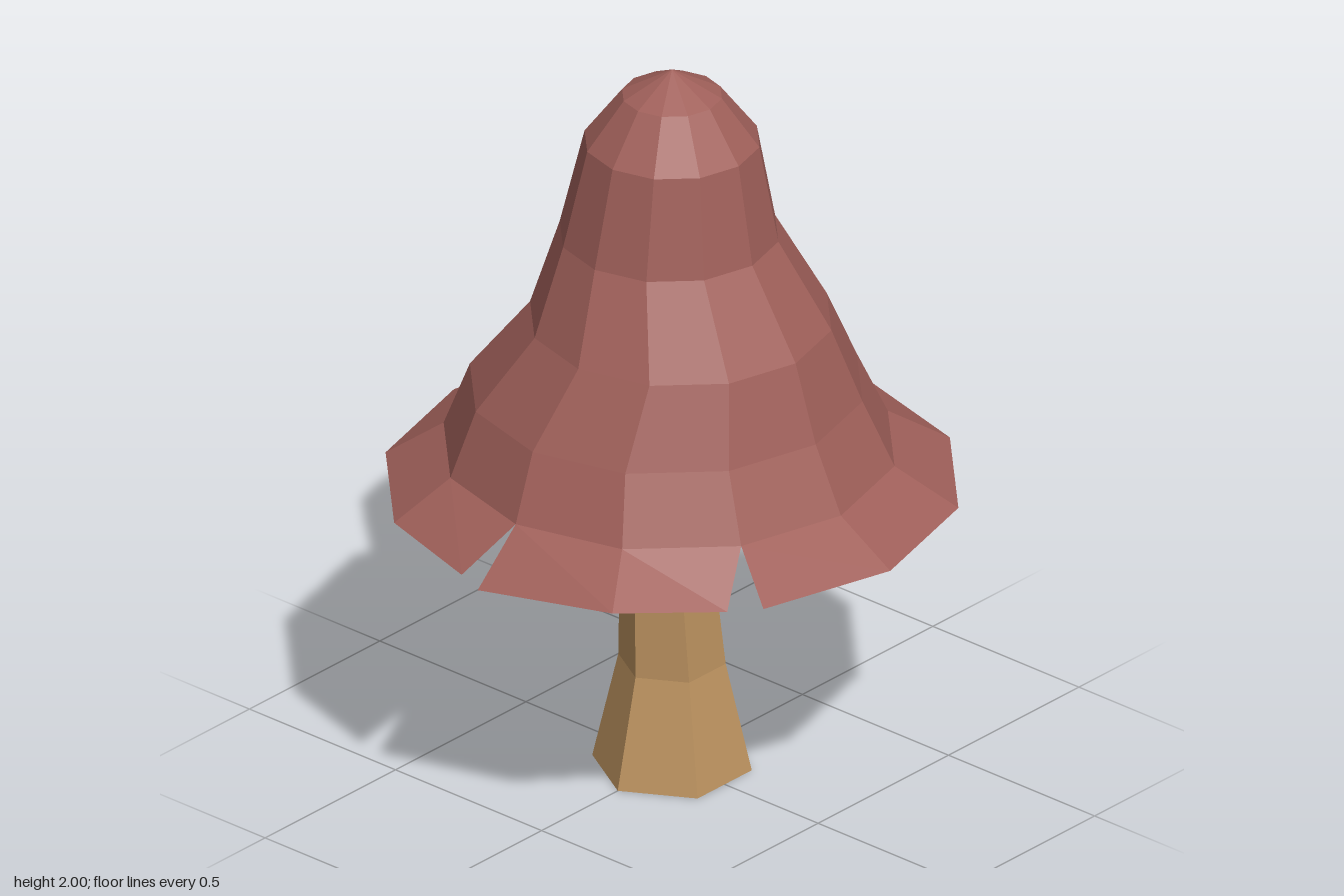
import * as THREE from 'three';

// Point i of an n-sided ring: r radius, y height, cx/cz centre offset, start angle
const ringPoint = (n, i, r, y, cx = 0, cz = 0, start = 0) => {
  const a = start + (i / n) * Math.PI * 2;
  return [cx + r * Math.cos(a), y, cz + r * Math.sin(a)];
};

// Skin between rows of points (rows run from top to bottom, angle increasing from +x to +z)
function skin(rows, material, name) {
  const pos = [], index = [], w = rows[0].length;
  rows.forEach(row => row.forEach(p => pos.push(...p)));
  for (let j = 0; j < rows.length - 1; j++) {
    for (let i = 0; i < w - 1; i++) {
      const a = j * w + i, b = a + 1, c = a + w, d = c + 1;
      index.push(a, b, c, b, d, c);
    }
  }
  const g = new THREE.BufferGeometry();
  g.setAttribute('position', new THREE.Float32BufferAttribute(pos, 3));
  g.setIndex(index);
  const flat = g.toNonIndexed();
  flat.computeVertexNormals();
  const mesh = new THREE.Mesh(flat, material);
  mesh.name = name;
  return mesh;
}

export function createModel() {
  const capRed = new THREE.MeshStandardMaterial({ color: 0xa0605a, flatShading: true, side: THREE.DoubleSide });
  capRed.name = 'capRed';
  const stemTan = new THREE.MeshStandardMaterial({ color: 0xbd9360, flatShading: true, side: THREE.DoubleSide });
  stemTan.name = 'stemTan';
  const group = new THREE.Group();
  group.name = 'mushroom';

  // Cap: hollow twelve-sided bell with slightly wandering rings [radius, y, centre x]
  const N = 12;
  const capRings = [
    [0, 2, 0], [0.13, 1.93, 0], [0.228, 1.8, 0], [0.285, 1.53, -0.01],
    [0.393, 1.3, 0.03], [0.512, 1.09, -0.02], [0.588, 0.915, -0.01],
  ];
  const row = ([r, y, cx]) => Array.from({ length: N + 1 }, (_, i) => ringPoint(N, i, r, y, cx));
  group.add(skin(capRings.map(row), capRed, 'cap'));

  // Brim: four flaps parted by slits, each with its own end corners
  const flaps = [
    [1, 3, [0.555, 0.79, 0.41], [0, 0.79, 0.745]],
    [3, 7, [-0.055, 0.815, 0.745], [-0.645, 0.815, -0.372]],
    [7, 9, [-0.625, 0.805, -0.43], [-0.045, 0.815, -0.745]],
    [9, 13, [0, 0.815, -0.745], [0.645, 0.815, 0.372]],
  ];
  for (const [from, to, first, last] of flaps) {
    const inner = [], outer = [];
    for (let i = from; i <= to; i++) {
      inner.push(ringPoint(N, i, ...capRings[6]));
      outer.push(i === from ? first : i === to ? last : ringPoint(N, i, 0.747, 0.815));
    }
    group.add(skin([inner, outer], capRed, 'brimFlap'));
  }

  // Stem: flared six-sided post leaning forward, closed at both ends [radius, y, centre z]
  const stemRings = [
    [0, 1.1, 0.056], [0.092, 1.1, 0.056], [0.11, 0.8, 0.035],
    [0.14, 0.3, 0], [0.208, 0, 0], [0, 0, 0],
  ];
  const stemRows = stemRings.map(([r, y, cz]) =>
    Array.from({ length: 7 }, (_, i) => ringPoint(6, i, r, y, 0, cz, Math.PI / 2)));
  group.add(skin(stemRows, stemTan, 'stem'));

  return group;
}
